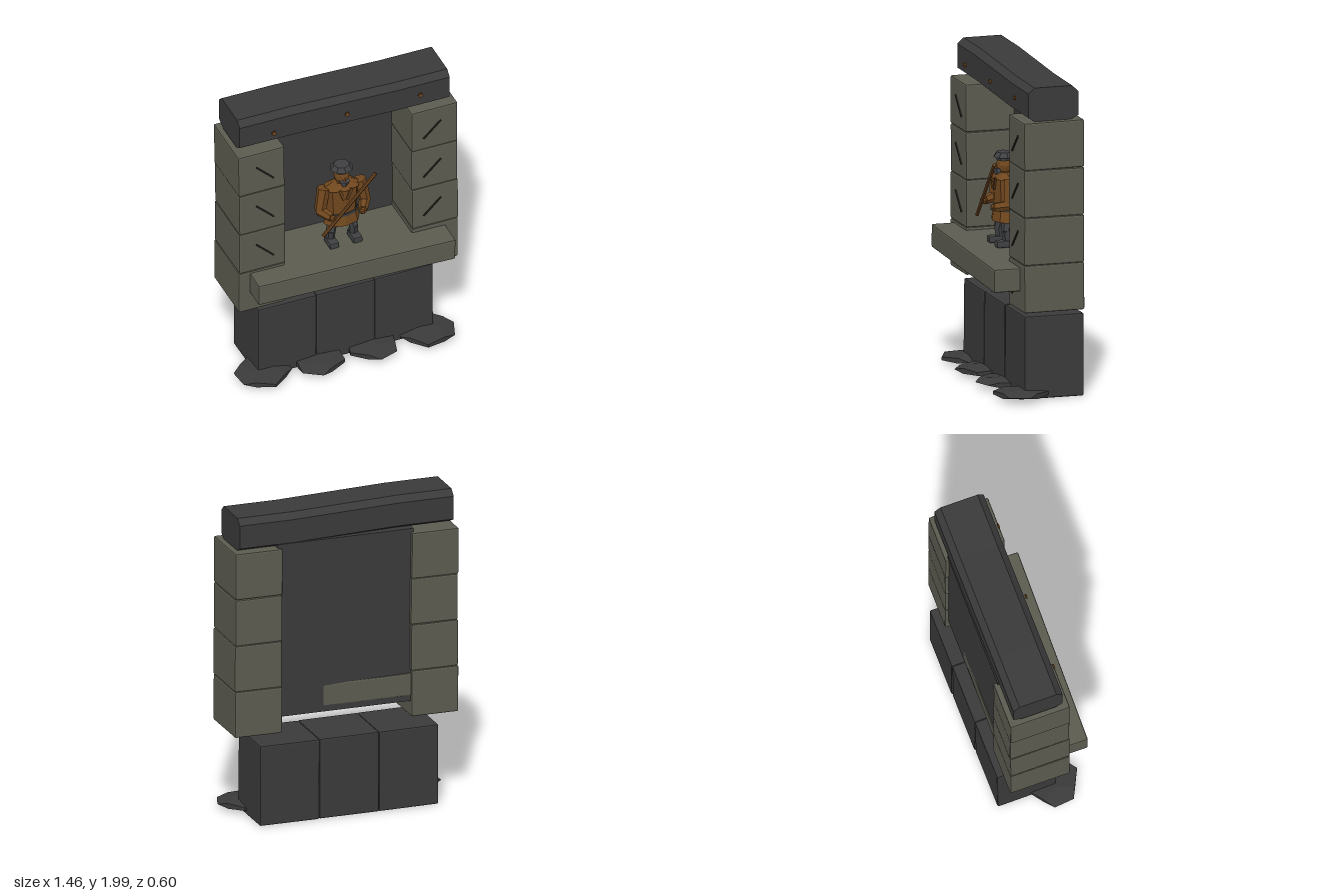
import * as THREE from 'three';
import { RoundedBoxGeometry } from 'three/addons/geometries/RoundedBoxGeometry.js';

const colour = (name, hex) => Object.assign(new THREE.MeshStandardMaterial({ color: hex }), { name });

export function createModel() {
  const stone = colour('grey-green stone', 0x5b5b50);
  const slate = colour('dark slate', 0x3a3a3a);
  const ink = colour('carved groove', 0x25241f);
  const bronze = colour('bronze', 0x70471e);
  const wood = colour('staff wood', 0x66401c);
  const iron = colour('iron grey', 0x3f4042);
  const beardGrey = colour('beard grey', 0x4b5055);

  let seed = 7;
  const jitter = (a) => {
    seed = (seed * 16807) % 2147483647;
    return (seed / 2147483647 - 0.5) * 2 * a;
  };

  // Facet a geometry and add it as a named mesh
  const add = (parent, name, geometry, material, x = 0, y = 0, z = 0) => {
    const g = geometry.index ? geometry.toNonIndexed() : geometry;
    g.computeVertexNormals();
    const mesh = new THREE.Mesh(g, material);
    mesh.name = name;
    mesh.position.set(x, y, z);
    parent.add(mesh);
    return mesh;
  };

  // Hewn block with narrow bevels and a slight random tilt
  const block = (parent, name, material, w, h, d, x, y, z, tilt = 0.008) => {
    const m = add(parent, name, new RoundedBoxGeometry(w, h, d, 1, 0.01), material, x, y, z);
    m.rotation.set(jitter(tilt), jitter(tilt), jitter(tilt));
    return m;
  };

  // Tapered limb between two points
  const limb = (parent, name, material, a, b, rA, rB, sides = 6) => {
    const from = new THREE.Vector3(...a), to = new THREE.Vector3(...b);
    const dir = to.clone().sub(from);
    const m = add(parent, name, new THREE.CylinderGeometry(rB, rA, dir.length(), sides), material);
    m.position.copy(from).add(to).multiplyScalar(0.5);
    m.quaternion.setFromUnitVectors(new THREE.Vector3(0, 1, 0), dir.normalize());
    return m;
  };

  const model = new THREE.Group();
  model.name = 'stoneShrine';

  // Base: three blocks with four flat rocks along the front
  const base = new THREE.Group();
  base.name = 'base';
  model.add(base);
  [-0.388, 0, 0.388].forEach((x, i) =>
    block(base, 'baseBlock', slate, 0.388, 0.515, 0.38, x, 0.27, -0.1 - i * 0.005));
  [-0.545, -0.185, 0.17, 0.535].forEach((x, i) => {
    const rock = add(base, 'footRock', new THREE.DodecahedronGeometry(0.18), slate, x, 0.048, 0.08 + (i % 2) * 0.01);
    rock.scale.set(1, 0.16, 1);
    rock.rotation.y = i * 0.9 + 0.1;
  });

  // Pillars: four stacked blocks a side, each with a diagonal groove
  for (const side of [-1, 1]) {
    const pillar = new THREE.Group();
    pillar.name = side > 0 ? 'leftPillar' : 'rightPillar';
    model.add(pillar);
    for (let i = 0; i < 4; i++) {
      const y = 0.73 + i * 0.296;
      block(pillar, 'pillarBlock', stone, 0.306, 0.296, 0.386, side * (0.572 + jitter(0.004)), y, -0.064);
      const groove = add(pillar, 'groove', new THREE.BoxGeometry(0.16, 0.009, 0.009), ink, side * 0.553, y - 0.008, 0.132);
      groove.rotation.z = side * 0.77;
    }
  }

  // Back wall of the niche
  add(model, 'backPanel', new THREE.BoxGeometry(0.88, 1.11, 0.055), slate, 0, 1.235, -0.208);

  // Ledge, slightly skewed so that one back corner breaks through the wall
  const ledge = block(model, 'ledge', stone, 1.295, 0.145, 0.522, -0.003, 0.784, 0.023, 0);
  ledge.rotation.set(0, -0.017, -0.012);

  // Lintel: chamfered section, sagging a little toward one end
  const section = new THREE.Shape([
    [-0.05, 2.0], [0.19, 2.0], [0.23, 1.962], [0.23, 1.815],
    [0.17, 1.785], [-0.04, 1.785], [-0.09, 1.815], [-0.09, 1.965],
  ].map(([u, v]) => new THREE.Vector2(u, v)));
  const beam = new THREE.ExtrudeGeometry(section, { depth: 1.39, steps: 4, bevelEnabled: false });
  beam.rotateY(Math.PI / 2).translate(-0.703, 0, 0);
  const p = beam.attributes.position;
  for (let i = 0; i < p.count; i++) {
    const sag = THREE.MathUtils.clamp((p.getX(i) + 0.35) / 0.7, 0, 1);
    p.setY(i, p.getY(i) - 0.024 * sag);
  }
  add(model, 'lintel', beam, slate);

  // Studs in front of the lintel
  for (const x of [-0.485, 0, 0.485]) {
    add(model, 'stud', new THREE.CylinderGeometry(0.015, 0.015, 0.01, 8), bronze, x, 1.878, 0.112).rotation.x = Math.PI / 2;
  }

  // Standing figure with a staff
  const figure = new THREE.Group();
  figure.name = 'figure';
  model.add(figure);
  const z = 0.02;
  const oval = (name, material, top, bottom, h, y, depth, sides = 8) => {
    const m = add(figure, name, new THREE.CylinderGeometry(top, bottom, h, sides), material, 0, y, z);
    m.scale.z = depth;
    return m;
  };
  oval('coatSkirt', bronze, 0.1, 0.12, 0.08, 1.05, 0.65);
  oval('belt', iron, 0.105, 0.105, 0.018, 1.085, 0.66);
  oval('coat', bronze, 0.115, 0.1, 0.185, 1.185, 0.62);
  oval('shoulders', bronze, 0.06, 0.125, 0.035, 1.293, 0.62);
  oval('neck', bronze, 0.035, 0.045, 0.04, 1.3, 1, 6);
  const head = add(figure, 'head', new THREE.IcosahedronGeometry(0.052, 1), bronze, 0, 1.352, z);
  head.scale.set(0.92, 1.15, 1);
  const beard = add(figure, 'beard', new THREE.ConeGeometry(0.036, 0.075, 6), beardGrey, 0, 1.3, z + 0.042);
  beard.rotation.x = Math.PI;
  add(figure, 'nose', new THREE.ConeGeometry(0.011, 0.03, 4), bronze, 0, 1.352, z + 0.054);
  oval('capBand', iron, 0.052, 0.05, 0.02, 1.396, 1);
  oval('cap', iron, 0.05, 0.073, 0.03, 1.42, 0.95);

  for (const s of [-1, 1]) {
    // Legs and boots
    limb(figure, 'thigh', iron, [s * 0.06, 1.02, z], [s * 0.075, 0.95, z + 0.012], 0.034, 0.03);
    limb(figure, 'shin', iron, [s * 0.075, 0.955, z + 0.012], [s * 0.076, 0.87, z], 0.03, 0.027);
    block(figure, 'boot', iron, 0.062, 0.042, 0.11, s * 0.077, 0.878, z + 0.025, 0);
    // Arms bent forward to the staff
    limb(figure, 'upperArm', bronze, [s * 0.118, 1.285, z], [s * 0.148, 1.135, z + 0.015], 0.042, 0.036);
    limb(figure, 'forearm', bronze, [s * 0.15, 1.13, z + 0.01], [s * 0.105, 1.115, z + 0.09], 0.036, 0.028);
    add(figure, 'hand', new THREE.IcosahedronGeometry(0.025, 0), bronze, s * 0.1, 1.115, z + 0.1);
    // Coat lapels
    const lapel = add(figure, 'lapel', new THREE.BoxGeometry(0.018, 0.08, 0.009), wood, s * 0.025, 1.245, z + 0.069);
    lapel.rotation.z = -s * 0.35;
  }
  limb(figure, 'staff', wood, [-0.172, 1.012, 0.138], [0.175, 1.395, 0.142], 0.012, 0.012);

  return model;
}
